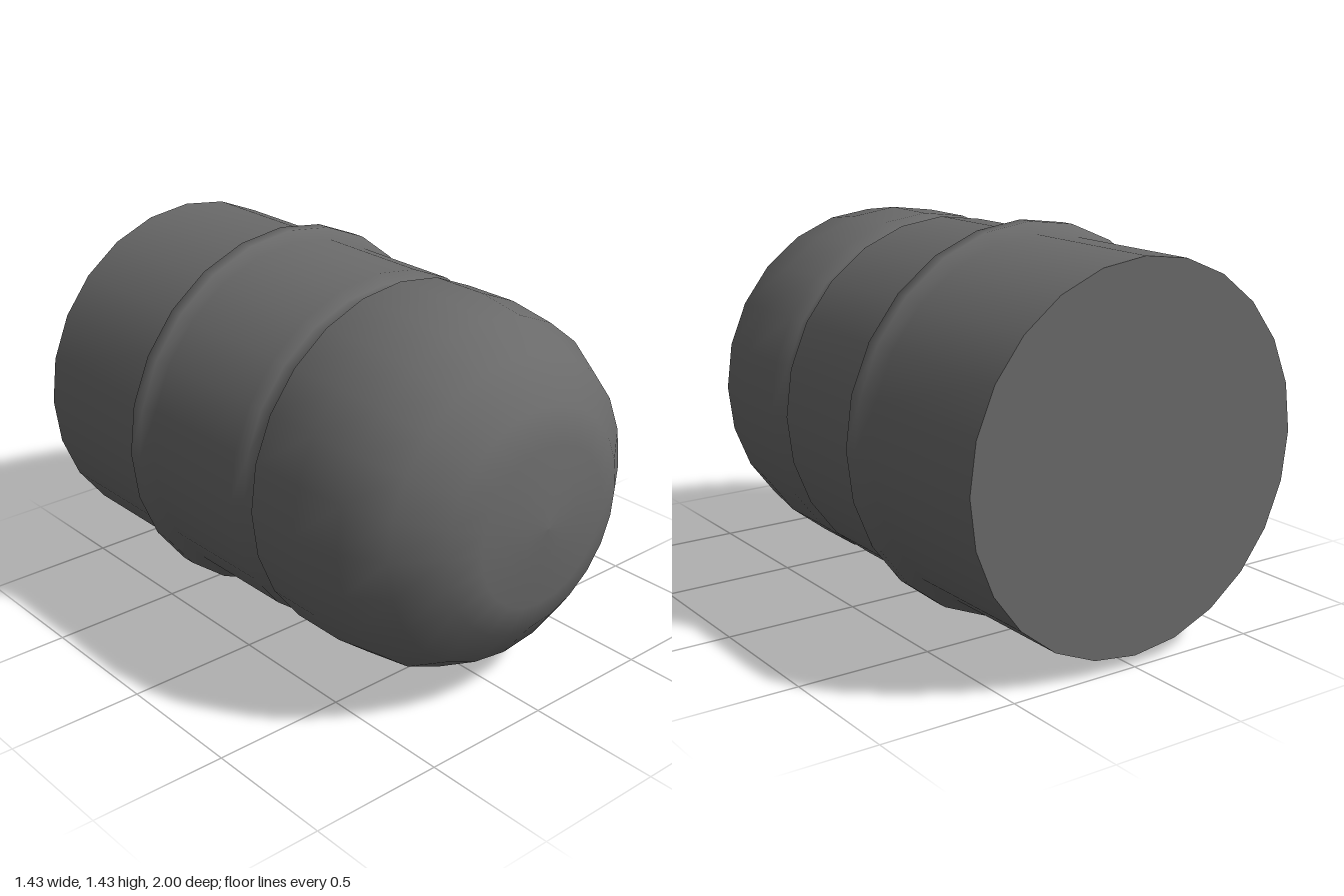
import * as THREE from 'three';

const SIDES = 24;
const AXIS_Y = 0.713;

export function createModel() {
  const model = new THREE.Group();
  model.name = 'roundNosedCapsule';
  const material = new THREE.MeshStandardMaterial({ color: 0x6a6a6a });

  const add = (name, geometry) => {
    const mesh = new THREE.Mesh(geometry, material);
    mesh.name = name;
    mesh.position.y = AXIS_Y;
    model.add(mesh);
  };

  // Turned shell, as [radius, z] from the back rim to the nose
  const profile = [
    [0.672, -1], [0.672, -0.43],
    [0.713, -0.395], [0.713, -0.34], [0.672, -0.315], // raised band
    [0.67, 0.15], [0.635, 0.178], [0.635, 0.235], [0.67, 0.265], // groove
    [0.67, 0.485], [0.642, 0.675], [0.557, 0.825], [0.41, 0.935], [0.29, 0.98], [0, 1], // nose
  ].map(([r, z]) => new THREE.Vector2(r, z));
  add('shell', new THREE.LatheGeometry(profile, SIDES).rotateX(Math.PI / 2));

  // Flat disc closing the back
  add('backCap', new THREE.CircleGeometry(0.672, SIDES).rotateY(Math.PI).translate(0, 0, -1));

  return model;
}
